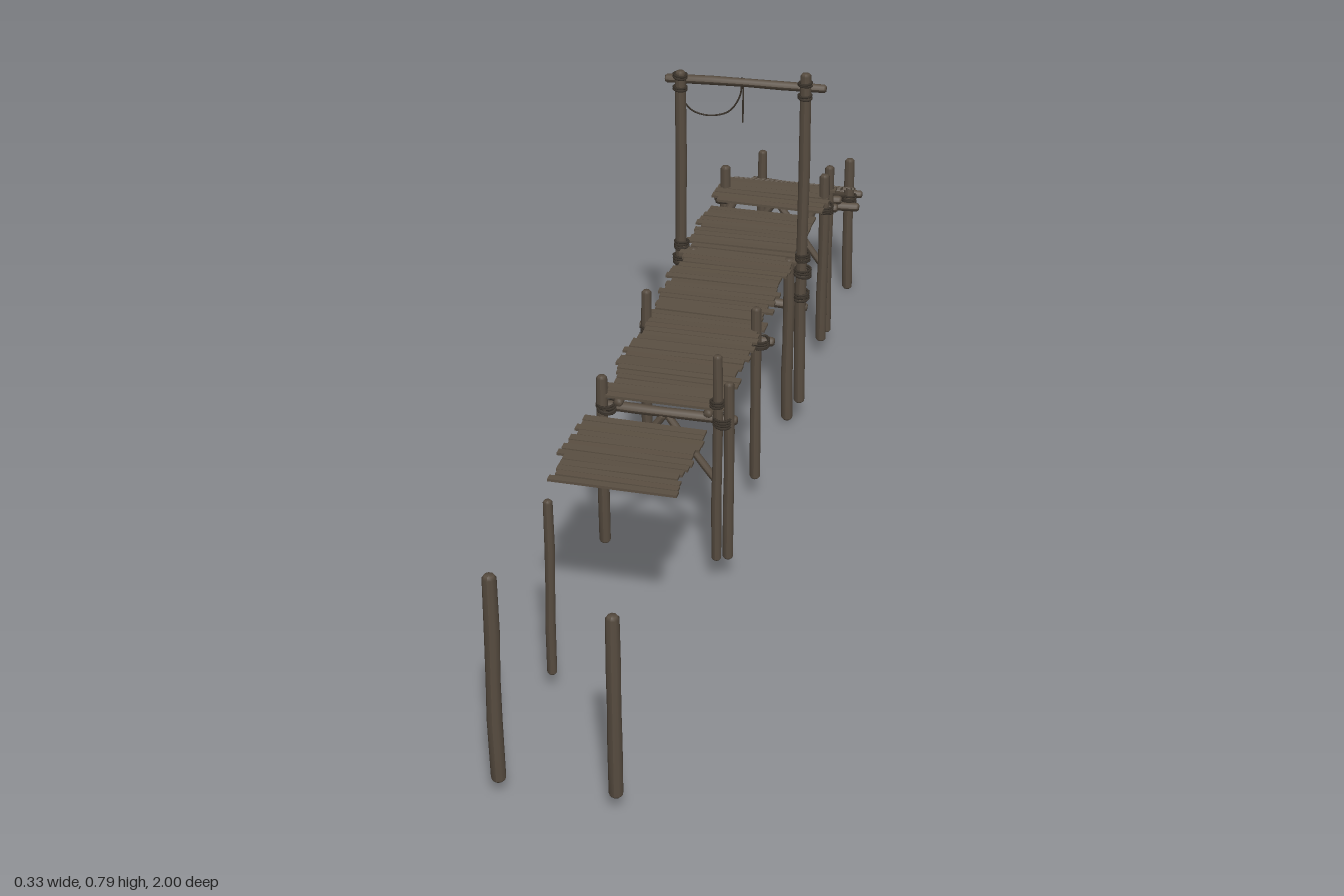
import * as THREE from 'three';

export function createModel() {
  const model = new THREE.Group();
  model.name = 'oldPier';
  const postWood = new THREE.MeshStandardMaterial({ color: 0x574c40 });
  postWood.name = 'post wood';
  const plankWood = new THREE.MeshStandardMaterial({ color: 0x5a4f42 });
  plankWood.name = 'plank wood';
  const ropeFibre = new THREE.MeshStandardMaterial({ color: 0x3a332b });
  ropeFibre.name = 'rope fibre';

  let seed = 7;
  const rnd = (a, b) => {
    seed = (seed * 16807) % 2147483647;
    return a + (b - a) * (seed / 2147483647);
  };
  const V = (x, y, z) => new THREE.Vector3(x, y, z);
  const add = (name, geo, mat, parent = model) => {
    const m = new THREE.Mesh(geo, mat);
    m.name = name;
    parent.add(m);
    return m;
  };

  // Rough round log between two points, with rounded ends and a slight bow
  function log(name, a, b, r, bow = 0.002) {
    const len = a.distanceTo(b), h = len / 2, c = Math.min(r * 0.4, h * 0.2);
    const prof = [[0, -h], [r * 0.7, -h], [r, -h + c], [r * 1.03, -h * 0.4],
      [r * 0.96, 0], [r * 1.02, h * 0.45], [r * 0.95, h - c], [r * 0.65, h], [0, h]];
    const geo = new THREE.LatheGeometry(prof.map(p => new THREE.Vector2(...p)), 9);
    const p = geo.attributes.position, ang = rnd(0, 6.28);
    for (let i = 0; i < p.count; i++) {
      const s = bow * Math.sin((p.getY(i) / h) * 3 + ang);
      p.setX(i, p.getX(i) + s * Math.cos(ang));
      p.setZ(i, p.getZ(i) + s * Math.sin(ang));
    }
    geo.computeVertexNormals();
    const m = add(name, geo, postWood);
    m.position.copy(a).add(b).multiplyScalar(0.5);
    m.quaternion.setFromUnitVectors(V(0, 1, 0), b.clone().sub(a).normalize());
    return m;
  }

  // Lashing: stacked rope turns around a post
  function lashing(x, y, z, r = 0.014, turns = 4) {
    const g = new THREE.Group();
    g.name = 'lashing';
    for (let i = 0; i < turns; i++) {
      const t = add('ropeTurn', new THREE.TorusGeometry(r, 0.0026, 5, 12), ropeFibre, g);
      t.rotation.set(Math.PI / 2 + rnd(-0.15, 0.15), rnd(-0.15, 0.15), 0);
      t.position.y = (i - (turns - 1) / 2) * 0.0048;
    }
    g.position.set(x, y, z);
    model.add(g);
  }

  const rope = (name, pts) => add(name, new THREE.TubeGeometry(
    new THREE.CatmullRomCurve3(pts.map(p => V(...p))), 32, 0.0018, 5), ropeFibre);

  // Posts: x, z, bottom, top, radius
  const posts = [
    [-0.104, 0.986, 0.03, 0.44, 0.013], [0.101, 0.986, 0.035, 0.395, 0.0125],
    [-0.1, 0.685, 0.04, 0.4, 0.009],
    [-0.118, 0.28, 0.06, 0.42, 0.011], [0.1, 0.28, 0.055, 0.492, 0.0095], [0.121, 0.275, 0.058, 0.435, 0.01],
    [-0.118, -0.03, 0.05, 0.44, 0.0105], [0.102, -0.03, 0.05, 0.43, 0.0105],
    [-0.128, -0.34, 0.06, 0.77, 0.0115], [0.124, -0.34, 0.055, 0.79, 0.0115],
    [-0.103, -0.337, 0.03, 0.385, 0.012], [0.1, -0.337, 0.012, 0.385, 0.012],
    [-0.108, -0.64, 0.04, 0.43, 0.0115], [0.108, -0.64, 0.04, 0.435, 0.0115],
    [-0.108, -0.682, 0.045, 0.38, 0.0105], [0.11, -0.682, 0.04, 0.435, 0.0105],
    [-0.102, -0.97, 0.005, 0.32, 0.0105], [0.1, -0.97, 0, 0.322, 0.0115],
  ];
  for (const [x, z, y0, y1, r] of posts) {
    log('post', V(x, y0, z), V(x + rnd(-0.002, 0.002), y1, z), r, 0.0015);
  }

  // Crossbeams under the deck, lashed to the posts
  for (const z of [0.265, -0.045, -0.357, -0.655, -0.697]) {
    log('crossbeam', V(-0.134, 0.352 + rnd(-0.004, 0.004), z), V(0.134, 0.352, z), 0.01);
  }
  for (const z of [0.28, -0.03, -0.34, -0.64]) {
    for (const s of [-1, 1]) lashing(s * (z === -0.34 ? 0.126 : 0.11), 0.357, z, 0.0165);
  }
  for (const s of [-1, 1]) lashing(s * 0.126, 0.39, -0.34, 0.0135, 4);
  lashing(0.1, 0.393, 0.28, 0.012, 3);

  // Lower tilted beam between the tall posts
  log('lowerBeam', V(-0.134, 0.29, -0.355), V(0.134, 0.268, -0.355), 0.01);
  lashing(-0.127, 0.29, -0.34);
  lashing(0.125, 0.303, -0.34);

  // Diagonal braces in two of the frames
  for (const z of [0.27, -0.66]) {
    for (const s of [-1, 1]) log('brace', V(s * 0.004, 0.347, z), V(s * 0.1, 0.215, z), 0.0075, 0.001);
  }

  // Stringers of the deck and ramp
  for (const x of [-0.088, 0.082]) {
    log('deckStringer', V(x, 0.37, 0.285), V(x, 0.37, -0.34), 0.009);
    log('deckStringer', V(x + 0.008, 0.369, -0.3), V(x + 0.008, 0.369, -0.71), 0.009);
    log('rampStringer', V(x, 0.368, -0.68), V(x, 0.222, -0.993), 0.009);
  }
  // Ramp end beams
  log('rampEndBeam', V(-0.125, 0.212, -0.955), V(0.125, 0.212, -0.955), 0.0105);
  log('rampEndBeam', V(-0.128, 0.238, -0.985), V(0.126, 0.23, -0.985), 0.009);
  for (const x of [-0.102, 0.1]) lashing(x, 0.225, -0.97, 0.0145, 5);

  // Planks: uneven boards laid from z0 to z1 on a slope
  function planks(name, z0, y0, z1, y1, pitch, centre = -0.003, half = 0.112) {
    const g = new THREE.Group();
    g.name = name;
    const run = Math.hypot(z1 - z0, y1 - y0), n = Math.round(run / pitch);
    const slope = Math.atan2(y1 - y0, z0 - z1);
    for (let i = 0; i < n; i++) {
      const t = (i + 0.5) / n;
      const x0 = centre - half + rnd(-0.011, 0.008), x1 = centre + half + rnd(-0.008, 0.01);
      const b = add('plank', new THREE.BoxGeometry(x1 - x0, 0.005, (run / n) * rnd(0.84, 1.0)), plankWood, g);
      b.position.set((x0 + x1) / 2, y0 + (y1 - y0) * t + rnd(-0.001, 0.001), z0 + (z1 - z0) * t);
      b.rotation.set(slope + rnd(-0.03, 0.03), rnd(-0.012, 0.012), rnd(-0.008, 0.008));
    }
    model.add(g);
  }
  planks('frontDeck', 0.287, 0.382, -0.362, 0.382, 0.0175);
  planks('backDeck', -0.368, 0.382, -0.542, 0.382, 0.0175);
  planks('deckEnd', -0.568, 0.382, -0.69, 0.382, 0.0205, 0, 0.115);
  planks('ramp', -0.695, 0.378, -0.995, 0.238, 0.0195, -0.006, 0.11);
  planks('loosePlanks', 0.6, 0.386, 0.372, 0.386, 0.0175, -0.012, 0.114);

  // Gantry beam with lashings
  log('gantryBeam', V(-0.163, 0.745, -0.358), V(0.162, 0.755, -0.358), 0.009, 0.003);
  for (const [x, y] of [[-0.128, 0.747], [0.124, 0.755]]) {
    lashing(x, y + 0.013, -0.34, 0.0128, 2);
    lashing(x, y - 0.013, -0.34, 0.0128, 2);
    const wrap = new THREE.Group();
    wrap.name = 'beamLashing';
    for (let i = -1; i <= 1; i++) {
      const t = add('ropeTurn', new THREE.TorusGeometry(0.0105, 0.0025, 5, 12), ropeFibre, wrap);
      t.rotation.y = Math.PI / 2;
      t.position.x = i * 0.006;
    }
    wrap.position.set(x, y, -0.358);
    model.add(wrap);
  }

  // Hanging ropes
  rope('gantryRope', [[-0.122, 0.703, -0.345], [-0.105, 0.682, -0.352], [-0.072, 0.673, -0.358],
    [-0.035, 0.683, -0.364], [-0.014, 0.715, -0.368], [-0.008, 0.755, -0.366]]);
  rope('ropeEnd', [[-0.008, 0.762, -0.358], [-0.007, 0.745, -0.369], [-0.007, 0.7, -0.369], [-0.007, 0.66, -0.368]]);
  rope('sideRope', [[-0.128, 0.36, 0.275], [-0.13, 0.315, 0.225], [-0.13, 0.278, 0.155], [-0.13, 0.267, 0.1],
    [-0.13, 0.28, 0.04], [-0.13, 0.315, -0.005], [-0.128, 0.35, -0.025]]);

  return model;
}
